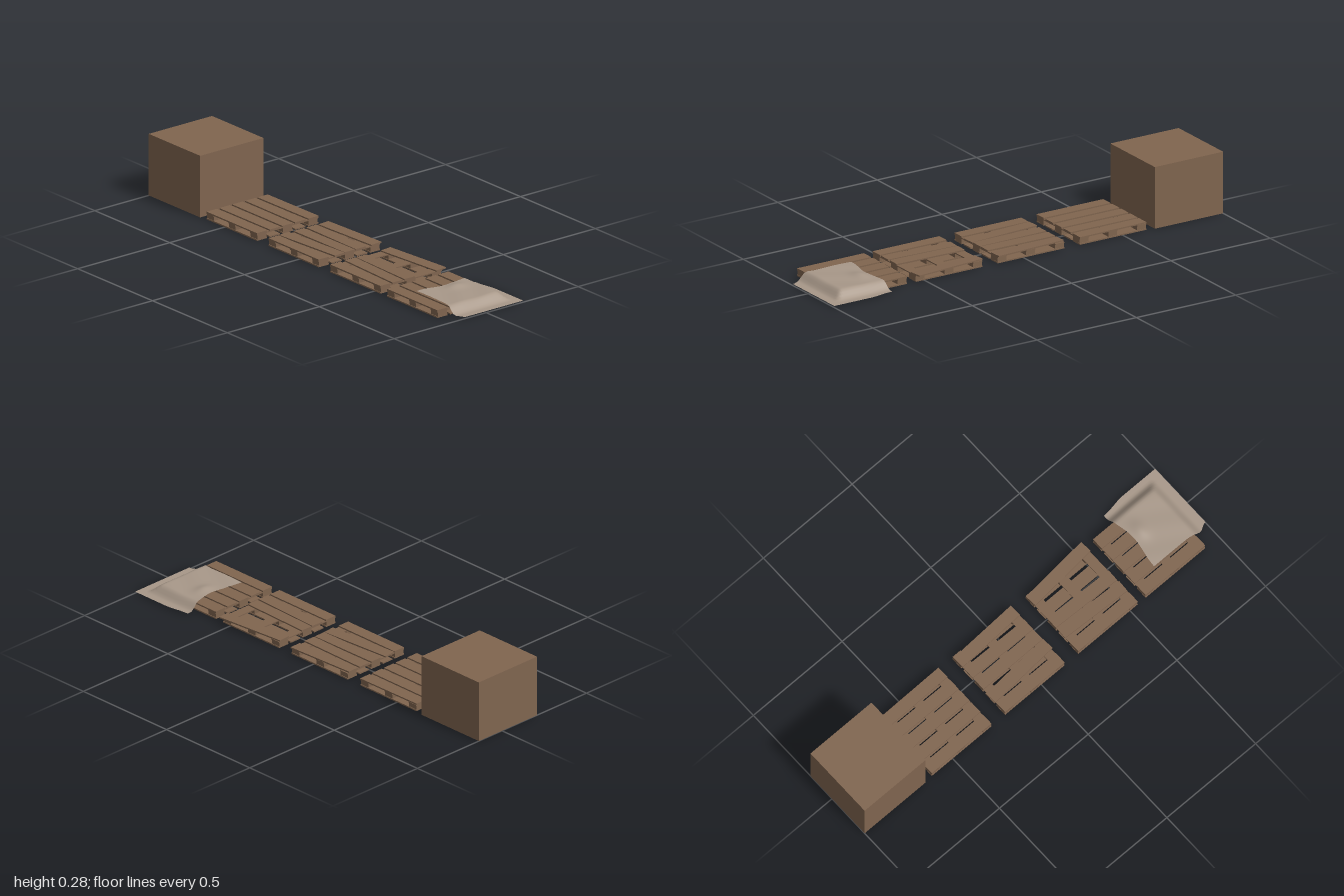
import * as THREE from 'three';

export function createModel() {
  const group = new THREE.Group();
  const wood = new THREE.MeshStandardMaterial({ color: 0x80654f });
  wood.name = 'brownWood';
  const cloth = new THREE.MeshStandardMaterial({ color: 0xa89889, side: THREE.DoubleSide });
  cloth.name = 'paleCanvas';

  function box(parent, name, w, h, d, x, y, z, yaw = 0, roll = 0) {
    const mesh = new THREE.Mesh(new THREE.BoxGeometry(w, h, d), wood);
    mesh.name = name;
    mesh.position.set(x, y, z);
    mesh.rotation.set(0, yaw, roll);
    parent.add(mesh);
  }

  // Large crate at the back
  box(group, 'crate', 0.344, 0.277, 0.344, -0.035, 0.1385, -0.828);

  // Pallet: five boards over cross boards and nine blocks, five boards below.
  // Each top board is [x shift, yaw, length, roll]; null is a missing board.
  const pitch = 0.0695, boardWidth = 0.056, length = 0.336;
  function pallet(name, z, boards) {
    const p = new THREE.Group();
    p.name = name;
    p.position.set(-0.036, 0, z);
    boards.forEach((b, i) => {
      const x = (i - 2) * pitch;
      box(p, 'bottomBoard', boardWidth, 0.006, length, x, 0.004, 0);
      if (b) box(p, 'topBoard', boardWidth, 0.006, b[2] ?? length, x + b[0], 0.033, 0, b[1], b[3] ?? 0);
    });
    for (const k of [-1, 0, 1]) {
      box(p, 'crossBoard', 0.334, 0.005, 0.045, 0, 0.0275, k * 0.145);
      for (const j of [-1, 0, 1]) box(p, 'block', 0.05, 0.018, 0.045, j * 0.139, 0.016, k * 0.145);
    }
    group.add(p);
  }
  pallet('soundPallet', -0.45, [[0, 0], [0, 0.004], [0, 0], [0, -0.004], [0, 0.012]]);
  pallet('loosePallet', -0.037, [[0, 0], [0.002, 0.07, 0.344], [0, 0.01], [-0.005, -0.015], [0, 0.045, 0.336, 0.02]]);
  pallet('brokenPallet', 0.375, [[0, 0], [0.004, -0.045, 0.338], [-0.003, -0.03], null, [0.01, 0.085, 0.338, 0.02]]);
  pallet('coveredPallet', 0.755, [[0, 0], [0, 0.004], [0, 0], [0, 0], [0, 0]]);

  // Draped cloth: flat on the pallet, falling to the ground at front and right
  const steps = 32;
  const geo = new THREE.PlaneGeometry(1, 1, steps, steps).rotateX(-Math.PI / 2);
  const pos = geo.attributes.position;
  const ease = THREE.MathUtils.smoothstep;
  for (let i = 0; i < pos.count; i++) {
    const u = pos.getX(i) + 0.5, v = pos.getZ(i) + 0.5;
    const left = -0.132 - 0.008 * ease(v, 0.6, 0.8) + 0.022 * ease(v, 0.82, 1);
    const right = 0.188 + 0.014 * ease(v, 0.02, 0.4);
    const back = 0.698 + 0.02 * Math.sin(Math.PI * Math.min(1, u * 1.05)) ** 2;
    const x = left + (right - left) * u, z = back + (1 - back) * v;
    const fall = Math.max(ease(x, 0.122, 0.17), ease(z, 0.915, 0.965));
    const bump = 0.009 * Math.exp(-(((x - 0.03) / 0.045) ** 2) - ((z - 0.76) / 0.03) ** 2);
    const ripple = 0.001 * Math.sin(x * 40 + z * 25);
    pos.setXYZ(i, x, 0.007 + (0.035 + bump + ripple) * (1 - fall), z);
  }
  geo.computeVertexNormals();
  const sheet = new THREE.Mesh(geo, cloth);
  sheet.name = 'drapedCloth';
  group.add(sheet);

  return group;
}
